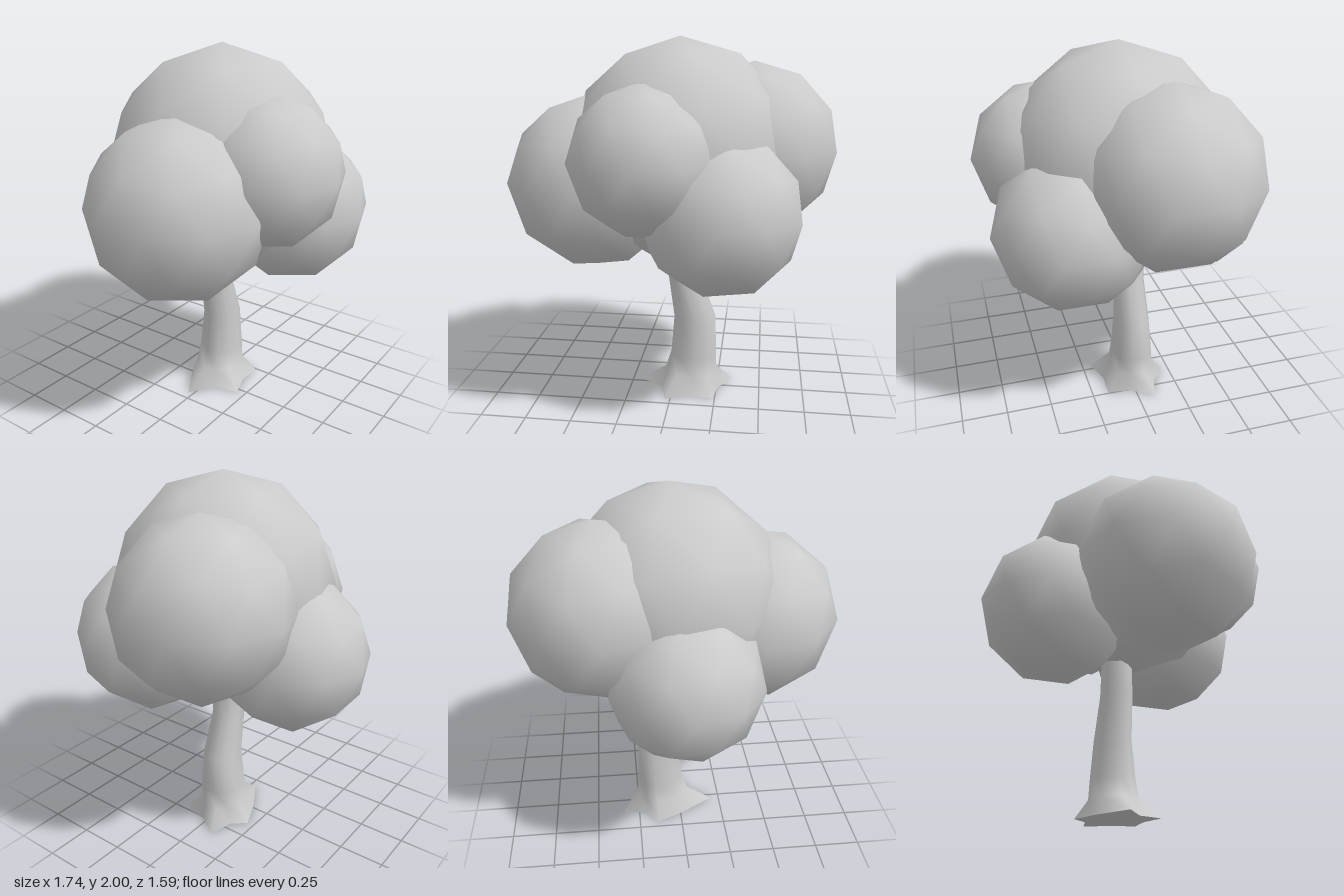
import * as THREE from 'three';

const material = new THREE.MeshStandardMaterial({ color: 0xcccccc });

// Low-poly smooth ball with a vertex pointing straight up
function leafBall(name, radius, x, y, z) {
  const geometry = new THREE.IcosahedronGeometry(radius, 1);
  geometry.rotateZ(-Math.atan(2 / (1 + Math.sqrt(5))));
  const mesh = new THREE.Mesh(geometry, material);
  mesh.name = name;
  mesh.position.set(x, y, z);
  return mesh;
}

function indexedMesh(name, positions, index) {
  const geometry = new THREE.BufferGeometry();
  geometry.setAttribute('position', new THREE.Float32BufferAttribute(positions, 3));
  geometry.setIndex(index);
  geometry.computeVertexNormals();
  const mesh = new THREE.Mesh(geometry, material);
  mesh.name = name;
  return mesh;
}

function createTrunk() {
  const group = new THREE.Group();
  group.name = 'trunk';
  const cx = 0.09, cz = -0.01;

  // Root tips on the ground, with a valley between each pair
  const tips = [[0.34, -0.1], [0.24, 0.16], [-0.03, 0.2], [-0.2, -0.03], [0.14, -0.21]];
  const angles = tips.map(([x, z]) => Math.atan2(z - cz, x - cx));
  for (let i = 1; i < 5; i++) if (angles[i] < angles[i - 1]) angles[i] += Math.PI * 2;
  const base = [], spin = [];
  tips.forEach(([x, z], i) => {
    const next = i < 4 ? angles[i + 1] : angles[0] + Math.PI * 2;
    const mid = (angles[i] + next) / 2;
    base.push([x, z], [cx + 0.175 * Math.cos(mid), cz + 0.165 * Math.sin(mid)]);
    spin.push(angles[i], mid);
  });

  // Upper rings: height, centre x, half width in x, half depth in z
  const rings = [
    [0.1, 0.1, 0.152, 0.13],
    [0.2, 0.115, 0.135, 0.12],
    [0.42, 0.12, 0.122, 0.1],
    [0.65, 0.062, 0.095, 0.088],
    [0.8, 0.057, 0.092, 0.085],
    [1.0, 0.055, 0.09, 0.083],
  ];
  const n = base.length;
  const positions = base.flatMap(([x, z]) => [x, 0, z]);
  for (const [y, x, rx, rz] of rings)
    for (const a of spin) positions.push(x + rx * Math.cos(a), y, -0.013 + rz * Math.sin(a));

  const index = [];
  for (let r = 0; r < rings.length; r++)
    for (let i = 0; i < n; i++) {
      const a = r * n + i, b = r * n + (i + 1) % n;
      index.push(a, a + n, b + n, a, b + n, b);
    }
  group.add(indexedMesh('trunkAndRoots', positions, index));

  // Flat underside
  const cap = [cx, 0, cz, ...base.flatMap(([x, z]) => [x, 0, z])];
  const capIndex = [];
  for (let i = 0; i < n; i++) capIndex.push(0, 1 + i, 1 + (i + 1) % n);
  group.add(indexedMesh('trunkUnderside', cap, capIndex));
  return group;
}

export function createModel() {
  const tree = new THREE.Group();
  tree.name = 'tree';
  tree.add(createTrunk());

  // Overlapping balls of leaves
  const foliage = new THREE.Group();
  foliage.name = 'foliage';
  foliage.add(
    leafBall('crown', 0.6, 0.035, 1.4, 0.035),
    leafBall('rightFoliage', 0.475, -0.42, 1.235, 0.09),
    leafBall('leftFoliage', 0.47, 0.42, 1.4, -0.13),
    leafBall('frontFoliage', 0.39, -0.095, 1.4, 0.405),
    leafBall('frontLeftFoliage', 0.42, 0.28, 1.12, 0.34),
    leafBall('backFoliage', 0.412, 0.0, 1.09, -0.385),
  );
  tree.add(foliage);
  return tree;
}
